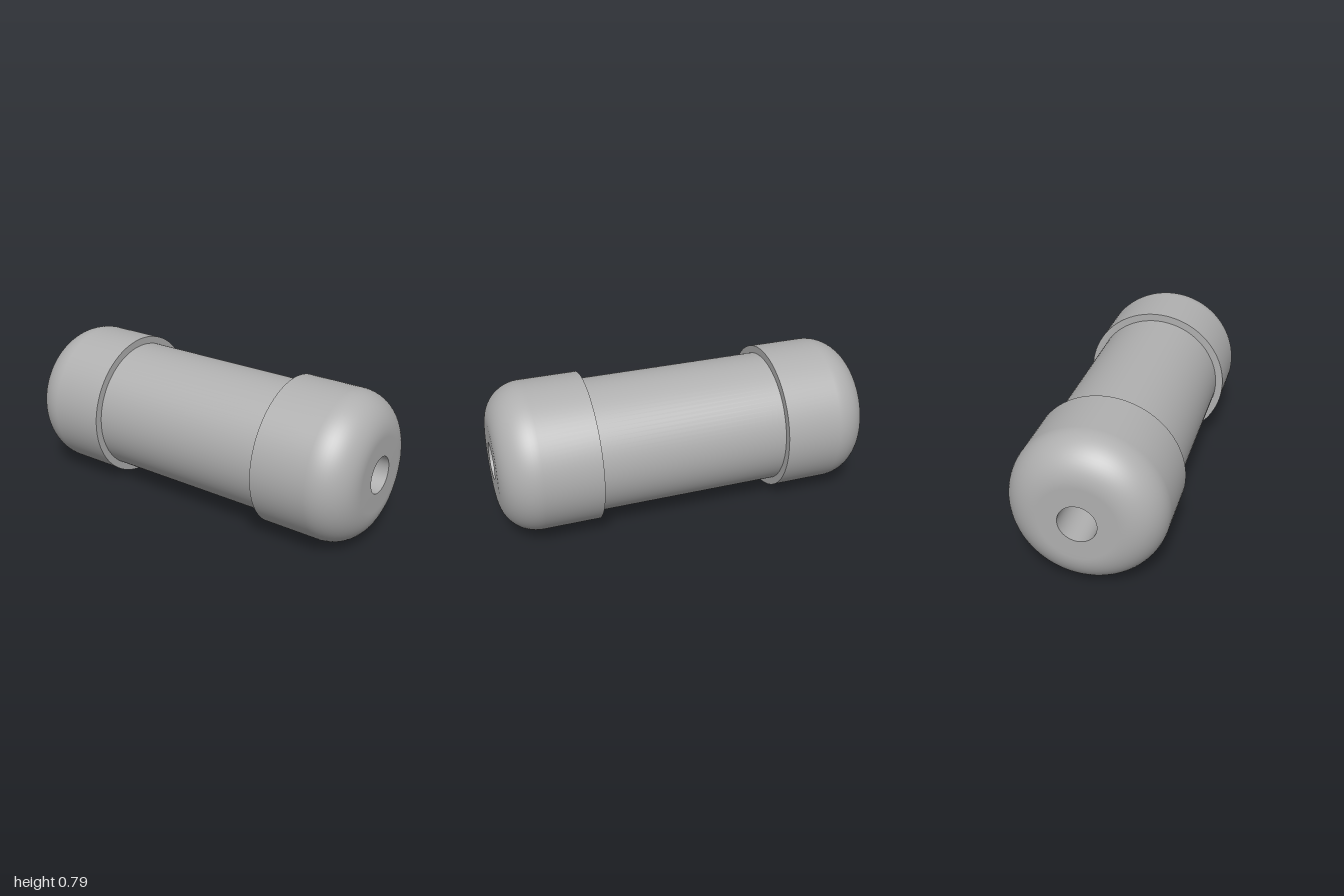
import * as THREE from 'three';

const R = 0.395;      // cap radius
const PIPE = 0.355;   // pipe radius
const BORE = 0.096;   // through hole radius
const FILLET = 0.2;   // rounding of the cap ends
const SEG = 96;

export function createModel() {
  const grey = new THREE.MeshStandardMaterial({ color: 0xb0b0b0 });
  grey.name = 'grey';

  // Surface of revolution; each sharp-edged section is its own lathe.
  const turned = (name, profile) => {
    const points = profile.map(([r, h]) => new THREE.Vector2(r, h));
    const mesh = new THREE.Mesh(new THREE.LatheGeometry(points, SEG), grey);
    mesh.name = name;
    return mesh;
  };

  const model = new THREE.Group();
  model.name = 'cappedPipe';

  // Straight pipe and the hole running through everything
  const core = new THREE.Group();
  core.name = 'core';
  core.rotation.z = -Math.PI / 2;
  core.add(turned('pipe', [[PIPE, -0.5], [PIPE, 0.5]]));
  core.add(turned('bore', [[BORE, 1], [BORE, -1]]));
  model.add(core);

  // Rounded cap wall, ending in a flat face around the hole
  const wall = [[R, 0.5]];
  for (let i = 0; i <= 16; i++) {
    const a = (i / 16) * Math.PI / 2;
    wall.push([R - FILLET + FILLET * Math.cos(a), 1 - FILLET + FILLET * Math.sin(a)]);
  }
  wall.push([BORE, 1]);

  for (const side of [1, -1]) {
    const cap = new THREE.Group();
    cap.name = side > 0 ? 'leftCap' : 'rightCap';
    cap.add(turned('capWall', wall));
    cap.add(turned('capShoulder', [[PIPE, 0.5], [R, 0.5]]));
    cap.rotation.z = -side * Math.PI / 2;
    model.add(cap);
  }

  model.position.y = R;
  const root = new THREE.Group();
  root.add(model);
  return root;
}
